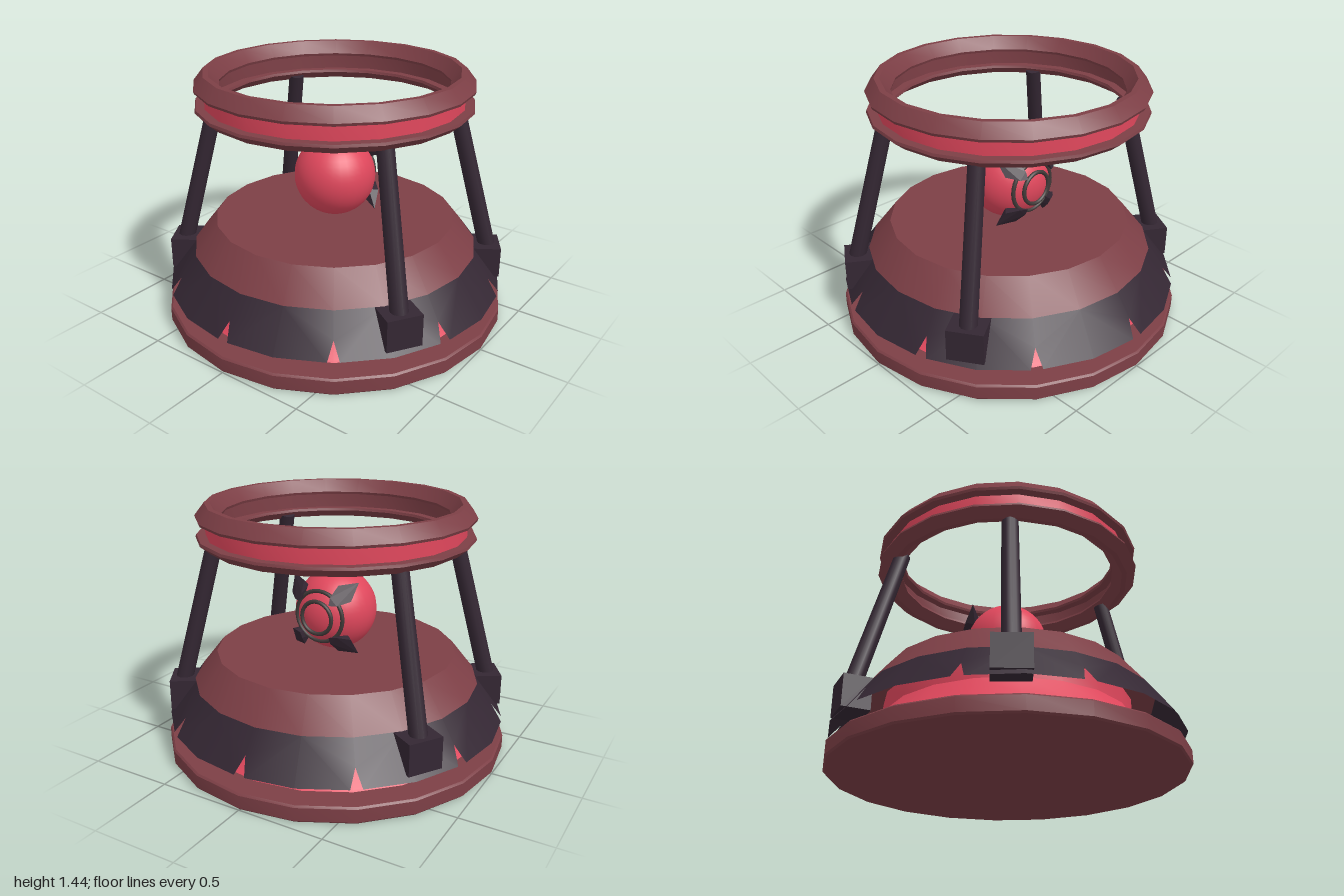
import * as THREE from 'three';
import { toCreasedNormals } from 'three/addons/utils/BufferGeometryUtils.js';
import { ConvexGeometry } from 'three/addons/geometries/ConvexGeometry.js';

const mat = (name, color, side = THREE.FrontSide) => {
  const m = new THREE.MeshStandardMaterial({ color, side });
  m.name = name;
  return m;
};

export function createModel() {
  const model = new THREE.Group();
  model.name = 'orbPedestal';
  const red = mat('bright red', 0xe0475c);
  const brown = mat('dusty maroon', 0x7d3f46);
  const dark = mat('dark plum', 0x342733, THREE.DoubleSide);
  const grey = mat('dark grey', 0x413a39);

  const add = (name, geo, material, parent = model) => {
    const mesh = new THREE.Mesh(geo, material);
    mesh.name = name;
    parent.add(mesh);
    return mesh;
  };
  // Twenty-sided turned part with crisp profile edges
  const turned = (name, profile, material) => {
    const geo = new THREE.LatheGeometry(profile.map(([r, y]) => new THREE.Vector2(r, y)), 20);
    return add(name, toCreasedNormals(geo, 0.4), material);
  };

  // Base, glowing core and upper platform
  turned('baseDisc', [[0, 0], [0.99, 0], [1, 0.01], [1, 0.085], [0.99, 0.095], [0.8, 0.095]], brown);
  turned('core', [[0.86, 0.09], [0.84, 0.105], [0.77, 0.19], [0.7, 0.3], [0.7, 0.4]], red);
  turned('platform', [[0.69, 0.4], [0.835, 0.4], [0.7, 0.57], [0, 0.57]], brown);

  // Sloping skirt with ten notches cut in its lower edge
  const onSkirt = (deg, y) => {
    const r = 0.99 + (0.835 - 0.99) * (y - 0.19) / 0.21;
    const start = Math.floor(deg / 18) * 18, f = (deg - start) / 18;
    const a = THREE.MathUtils.degToRad(start), b = THREE.MathUtils.degToRad(start + 18);
    return new THREE.Vector3(
      r * THREE.MathUtils.lerp(Math.cos(a), Math.cos(b), f), y,
      r * THREE.MathUtils.lerp(Math.sin(a), Math.sin(b), f));
  };
  const corners = [];
  const half = [[18, 0.4], [0, 0.4], [0, 0.28], [1.9, 0.19], [18, 0.19]];
  for (let i = 0; i < 10; i++) {
    for (const side of [1, -1]) {
      const p = half.map(([u, y]) => onSkirt(i * 36 + 18 + side * (u - 18) + 360, y));
      for (let k = 1; k < 4; k++) {
        corners.push(...(side > 0 ? [p[0], p[k + 1], p[k]] : [p[0], p[k], p[k + 1]]));
      }
    }
  }
  const skirt = new THREE.BufferGeometry().setFromPoints(corners);
  // Make all faces point outward
  const pos = skirt.attributes.position;
  const tri = new THREE.Triangle(), n = new THREE.Vector3(), tmp = new THREE.Vector3();
  for (let i = 0; i < pos.count; i += 3) {
    tri.setFromAttributeAndIndices(pos, i, i + 1, i + 2).getNormal(n);
    if (n.dot(tmp.set(tri.a.x, 0, tri.a.z)) < 0) {
      pos.setXYZ(i + 1, tri.c.x, tri.c.y, tri.c.z);
      pos.setXYZ(i + 2, tri.b.x, tri.b.y, tri.b.z);
    }
  }
  add('notchedSkirt', toCreasedNormals(skirt, 0.4), dark);

  // Crown: two bevelled rings joined by a recessed band
  turned('crownLowerRing', [[0.7, 1.205], [0.73, 1.205], [0.785, 1.25], [0.78, 1.265],
    [0.65, 1.265], [0.645, 1.25], [0.7, 1.205]], brown);
  turned('crownUpperRing', [[0.7, 1.44], [0.645, 1.37], [0.65, 1.355], [0.78, 1.355],
    [0.785, 1.37], [0.73, 1.44], [0.7, 1.44]], brown);
  turned('crownBand', [[0.73, 1.26], [0.73, 1.36]], red);
  turned('crownInnerBand', [[0.7, 1.36], [0.7, 1.26]], brown);

  // Four leaning legs seated in brackets
  for (const sx of [1, -1]) {
    for (const sz of [1, -1]) {
      const angle = Math.atan2(sz * 0.843, sx * 0.537);
      const mount = new THREE.Group();
      mount.name = 'legMount';
      mount.rotation.y = -angle;
      model.add(mount);
      const foot = new THREE.Vector3(0.915, 0.34, 0), top = new THREE.Vector3(0.677, 1.235, 0);
      const leg = add('leg', new THREE.CylinderGeometry(0.046, 0.05, foot.distanceTo(top), 12), dark, mount);
      leg.position.copy(foot).add(top).multiplyScalar(0.5);
      leg.quaternion.setFromUnitVectors(new THREE.Vector3(0, 1, 0), top.clone().sub(foot).normalize());
      add('legBracket', new THREE.BoxGeometry(0.155, 0.18, 0.2), dark, mount).position.set(0.9, 0.31, 0);
    }
  }

  // Floating orb with an eye facing +x
  const orb = new THREE.Group();
  orb.name = 'orb';
  orb.position.y = 0.81;
  model.add(orb);
  add('orbBall', new THREE.SphereGeometry(0.235, 32, 24), red, orb);
  for (const [r, x] of [[0.148, 0.187], [0.095, 0.22]]) {
    const ring = add('eyeRing', new THREE.TorusGeometry(r, 0.012, 8, 32), grey, orb);
    ring.rotation.y = Math.PI / 2;
    ring.position.x = x;
  }

  // Pointed fins on the diagonals around the eye: x, distance from axis, sideways
  const finPoints = [[0.11, 0.295, 0], [0.17, 0.215, 0.057], [0.17, 0.215, -0.057],
    [0.228, 0.16, 0.03], [0.228, 0.16, -0.03], [0.248, 0.132, 0],
    [0.13, 0.18, 0.035], [0.13, 0.18, -0.035], [0.17, 0.15, 0]];
  const finGeo = new ConvexGeometry(finPoints.map((p) => new THREE.Vector3(...p)));
  for (let i = 0; i < 4; i++) {
    add('fin', finGeo, dark, orb).rotation.x = Math.PI / 4 + i * Math.PI / 2;
  }
  return model;
}
